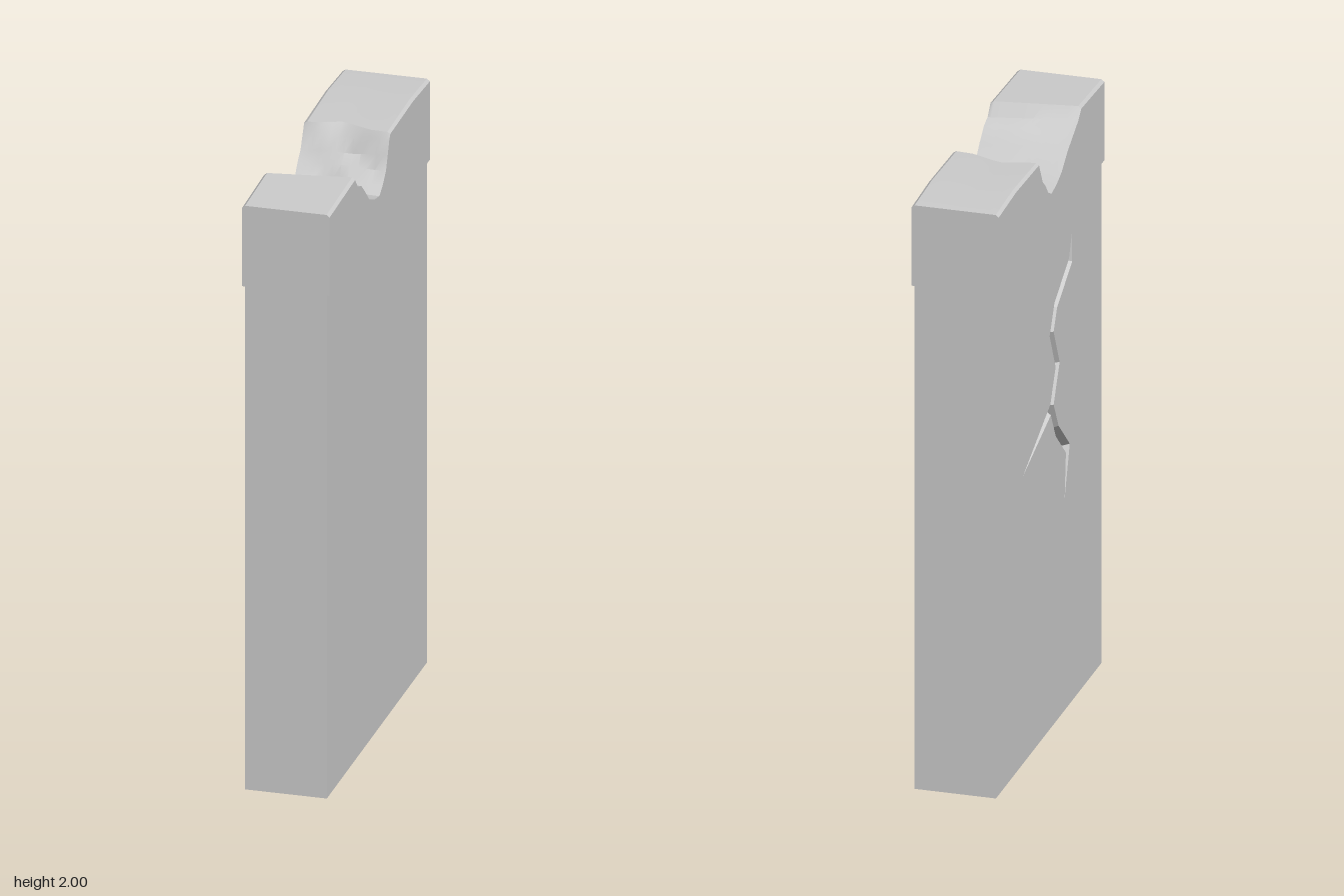
import * as THREE from 'three';
import { toCreasedNormals } from 'three/addons/utils/BufferGeometryUtils.js';

const HX = 0.134, HZ = 0.57, SEAM = 1.715, CAP_X = 0.143;
const material = new THREE.MeshStandardMaterial({ color: 0xcccccc });

function addMesh(parent, name, geometry) {
  const mesh = new THREE.Mesh(geometry, material);
  mesh.name = name;
  parent.add(mesh);
}

function fromPositions(positions) {
  const g = new THREE.BufferGeometry();
  g.setAttribute('position', new THREE.Float32BufferAttribute(positions, 3));
  return g;
}

// Crack centre line as (z, y) points, and the walk around its branches
const crack = [
  [0.25, 1.60], [0.235, 1.51], [0.075, 1.42], [0.03, 1.34], [0.095, 1.21],
  [0.03, 1.09], [-0.28, 0.98], [0.09, 0.985], [0.205, 0.88], [0.17, 0.72],
].map(p => new THREE.Vector2(...p));
const walk = [0, 1, 2, 3, 4, 5, 6, 5, 7, 8, 9, 8, 7, 5, 4, 3, 2, 1];

// Offset the walk sideways; branch ends stay pointed
function crackOutline(width) {
  return walk.map((id, i) => {
    const p = crack[id];
    const before = crack[walk.at(i - 1)], after = crack[walk[(i + 1) % walk.length]];
    if (before === after) return p.clone();
    const dIn = p.clone().sub(before).normalize();
    const dir = after.clone().sub(p).normalize().add(dIn).normalize();
    const length = width / Math.max(0.6, dir.dot(dIn));
    return new THREE.Vector2(p.x + dir.y * length, p.y - dir.x * length);
  });
}

// Slab: a box whose -x face is replaced by one pierced by the crack
function buildSlab(group) {
  const box = new THREE.BoxGeometry(2 * HX, SEAM, 2 * HZ);
  box.translate(0, SEAM / 2, 0);
  const index = Array.from(box.index.array);
  index.splice(6, 6);
  box.setIndex(index);
  box.clearGroups();
  addMesh(group, 'slab', box);

  const outline = crackOutline(0.019);
  const face = new THREE.Shape([
    new THREE.Vector2(-HZ, 0), new THREE.Vector2(HZ, 0),
    new THREE.Vector2(HZ, SEAM), new THREE.Vector2(-HZ, SEAM),
  ]);
  face.holes.push(new THREE.Path(outline));
  const faceGeometry = new THREE.ShapeGeometry(face);
  faceGeometry.rotateY(-Math.PI / 2);
  faceGeometry.translate(-HX, 0, 0);
  addMesh(group, 'crackedFace', faceGeometry);

  // V-shaped groove walls from the outline down to the centre line
  const rim = i => [-HX, outline[i].y, outline[i].x];
  const floor = i => {
    const c = crack[walk[i]];
    const depth = c.equals(outline[i]) ? 0 : 0.035;
    return [-HX + depth, c.y, c.x];
  };
  const positions = [];
  outline.forEach((_, i) => {
    const j = (i + 1) % outline.length;
    positions.push(...rim(i), ...rim(j), ...floor(j), ...rim(i), ...floor(j), ...floor(i));
  });
  const groove = fromPositions(positions);
  groove.computeVertexNormals();
  addMesh(group, 'crackGroove', groove);
}

// Cap profile: z and y on the -x side, z and y on the +x side, edge bevel
const profile = [
  [0.57, 1.99, 0.57, 1.99, 0.008], [0.45, 1.995, 0.43, 1.995, 0.008],
  [0.32, 2, 0.28, 2, 0.008], [0.29, 1.965, 0.25, 1.957, 0],
  [0.23, 1.935, 0.21, 1.943, 0], [0.17, 1.905, 0.165, 1.905, 0],
  [0.11, 1.862, 0.12, 1.86, 0], [0.055, 1.842, 0.06, 1.836, 0],
  [0.0, 1.832, 0.005, 1.825, 0], [-0.035, 1.85, -0.03, 1.843, 0],
  [-0.065, 1.885, -0.07, 1.88, 0], [-0.095, 1.91, -0.09, 1.925, 0],
  [-0.125, 1.965, -0.108, 1.97, 0], [-0.135, 1.99, -0.12, 1.992, 0.006],
  [-0.38, 2, -0.38, 2, 0.008], [-0.57, 1.99, -0.57, 1.99, 0.008],
];

// Cap: cross-sections lofted from front to back through the broken notch
function buildCap(group) {
  const columns = 10, inner = CAP_X - 0.01;
  const rings = profile.map(([zl, yl, zr, yr, bevel], k) => {
    const rough = k > 3 && k < 12 ? 1 : 0;
    const ring = [[-CAP_X, SEAM, zl], [-CAP_X, yl - bevel, zl]];
    for (let i = 0; i <= columns; i++) {
      const t = i / columns, hump = Math.sin(Math.PI * t);
      const ripple = rough * hump * Math.sin(k * 2.3 + t * 7);
      // a chip is missing from the middle of the back rim
      const chip = Math.max(0, 1 - Math.abs(t - 0.42) / 0.36);
      const chipZ = k === 13 ? 0.035 * chip : 0;
      const chipY = k === 12 ? 0.012 * chip : 0;
      ring.push([
        (2 * t - 1) * inner,
        yl + (yr - yl) * t + 0.006 * ripple - chipY,
        zl + (zr - zl) * t + 0.007 * ripple - chipZ,
      ]);
    }
    ring.push([CAP_X, yr - bevel, zr], [CAP_X, SEAM, zr]);
    return ring;
  });

  const positions = [], n = rings[0].length;
  const triangle = (a, b, c) => positions.push(...a, ...b, ...c);
  for (let k = 0; k < rings.length - 1; k++) {
    for (let i = 0; i < n; i++) {
      const j = (i + 1) % n, r = rings[k], s = rings[k + 1];
      triangle(r[i], r[j], s[j]);
      triangle(r[i], s[j], s[i]);
    }
  }
  // flat ends
  const front = rings[0], back = rings.at(-1);
  for (let i = 1; i < n - 1; i++) {
    triangle(front[0], front[i + 1], front[i]);
    triangle(back[0], back[i], back[i + 1]);
  }
  addMesh(group, 'brokenCap', toCreasedNormals(fromPositions(positions), 0.5));
}

export function createModel() {
  const group = new THREE.Group();
  group.name = 'crackedStoneSlab';
  buildSlab(group);
  buildCap(group);
  return group;
}
